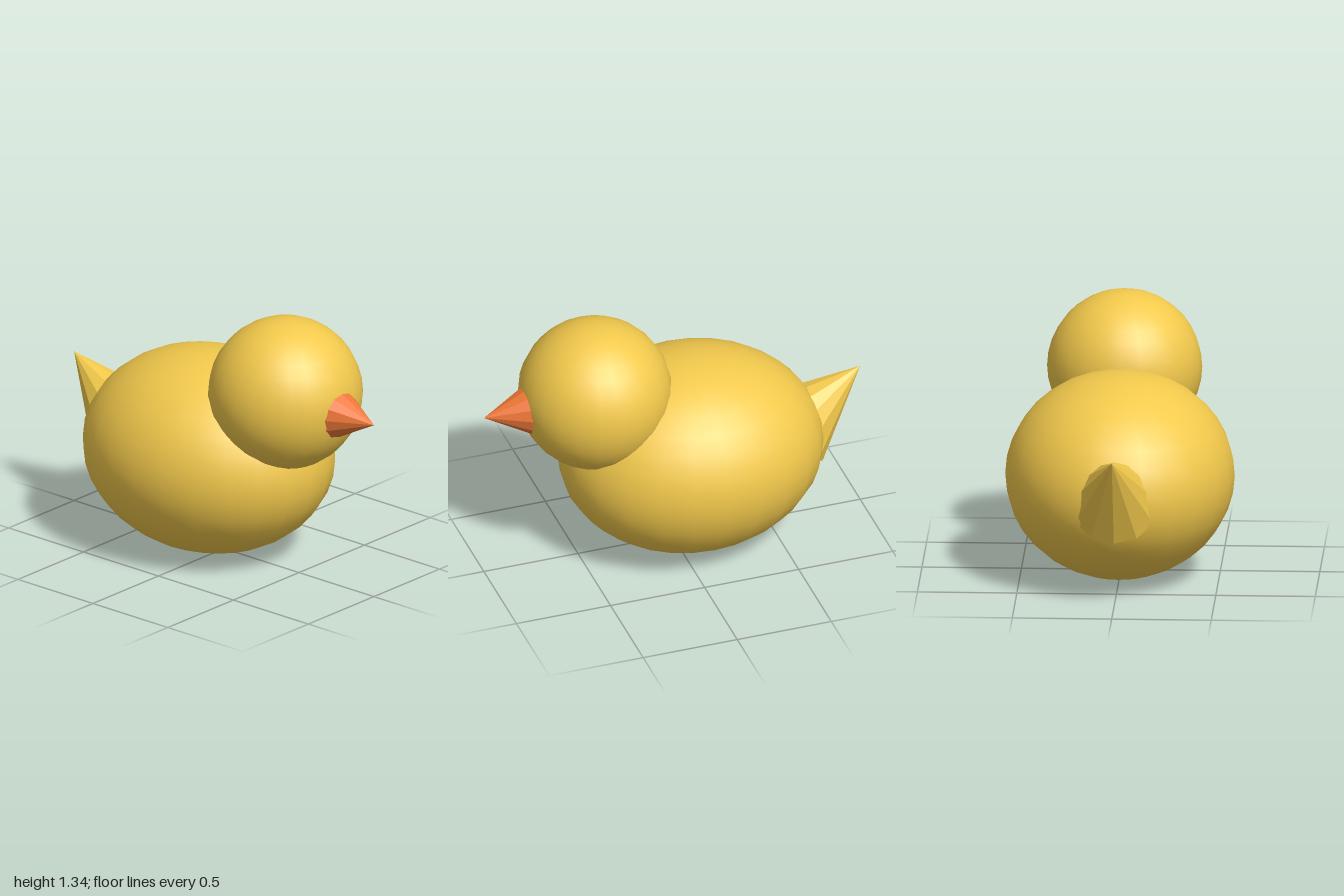
import * as THREE from 'three';

const yellow = 0xf2c94c;
const orange = 0xf07838;

// Smooth ellipsoid
function ball(name, radii, position) {
  const geometry = new THREE.SphereGeometry(1, 24, 18).scale(...radii);
  const mesh = new THREE.Mesh(geometry, new THREE.MeshStandardMaterial({ color: yellow }));
  mesh.name = name;
  mesh.position.set(...position);
  return mesh;
}

// Faceted cone with its tip at a given point; tilt turns it from straight up
function spike(name, radius, height, tip, tilt, color) {
  const geometry = new THREE.ConeGeometry(radius, height, 12).translate(0, -height / 2, 0);
  const mesh = new THREE.Mesh(geometry, new THREE.MeshStandardMaterial({ color, flatShading: true }));
  mesh.name = name;
  mesh.position.set(...tip);
  mesh.rotation.x = tilt;
  return mesh;
}

export function createModel() {
  const bird = new THREE.Group();
  bird.name = 'bird';
  bird.add(
    ball('body', [0.577, 0.52, 0.68], [0, 0.523, -0.1]),
    ball('head', [0.39, 0.39, 0.39], [0, 0.954, 0.41]),
    // Beak points forward, tail points back and up
    spike('beak', 0.139, 0.26, [0, 0.928, 1], Math.PI / 2, orange),
    spike('tail', 0.228, 0.467, [0, 0.808, -1], -0.89, yellow),
  );
  return bird;
}
